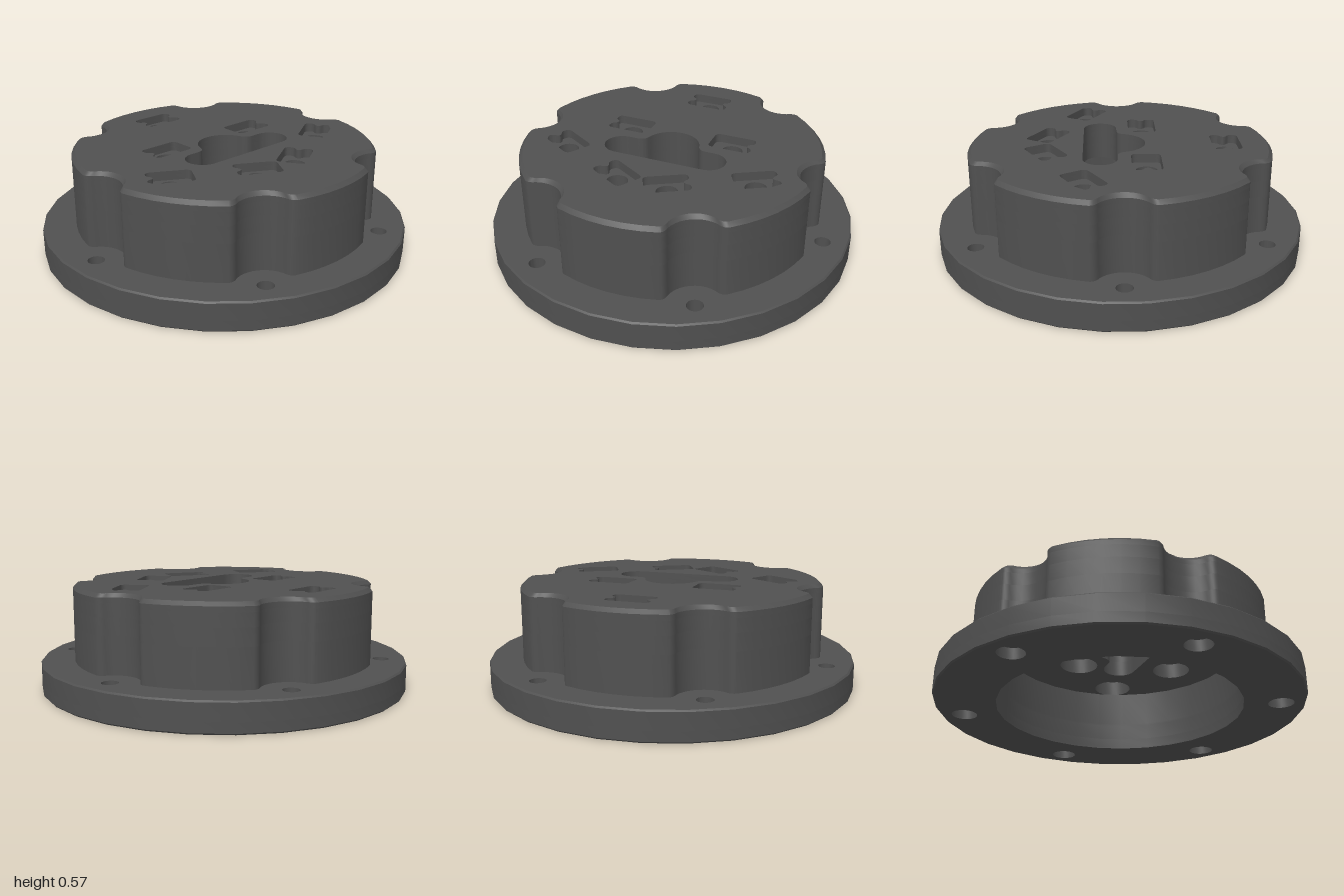
import * as THREE from 'three';
import { toCreasedNormals } from 'three/addons/utils/BufferGeometryUtils.js';

const darkGrey = new THREE.MeshStandardMaterial({ color: 0x505050 });
darkGrey.name = 'darkGrey';

const polar = (r, a) => new THREE.Vector2(r * Math.cos(a), r * Math.sin(a));

// 30-sided rim of the flange
function flangeOutline() {
  return Array.from({ length: 30 }, (_, i) => polar(1, (i / 30) * Math.PI * 2));
}

// Round body with a rounded scallop around each of the six screw holes
function bodyOutline() {
  const pts = [];
  for (let k = 0; k < 6; k++) {
    const c = Math.PI / 6 + (k * Math.PI) / 3;
    const centre = polar(0.865, c);
    const onScallop = (deg) => polar(0.15, c + Math.PI + (deg * Math.PI) / 180).add(centre);
    const lip = (from, ctrl, to) =>
      new THREE.QuadraticBezierCurve(from, ctrl, to).getPoints(5);
    pts.push(...lip(polar(0.82, c - 0.2), polar(0.815, c - 0.165), onScallop(50)));
    for (let d = 40; d >= -40; d -= 10) pts.push(onScallop(d));
    pts.push(...lip(onScallop(-50), polar(0.815, c + 0.165), polar(0.82, c + 0.2)));
    const span = Math.PI / 3 - 0.4;
    for (let i = 1; i < 6; i++) pts.push(polar(0.82, c + 0.2 + (span * i) / 6));
  }
  return pts;
}

const circle = (x, y, r) => new THREE.Path().absarc(x, y, r, 0, Math.PI * 2, true);

// Slot with a round bulge on one side
function keyhole() {
  const p = new THREE.Path();
  p.moveTo(0.2, -0.25);
  p.lineTo(0.2, 0.25);
  p.absarc(0.108, 0.25, 0.092, 0, Math.PI, false);
  p.lineTo(0.016, 0.2);
  p.quadraticCurveTo(0.016, 0.16, -0.02, 0.148);
  p.absarc(0.015, 0, 0.152, 1.803, Math.PI * 2 - 1.803, false);
  p.quadraticCurveTo(0.016, -0.16, 0.016, -0.2);
  p.lineTo(0.016, -0.25);
  p.absarc(0.108, -0.25, 0.092, Math.PI, Math.PI * 2, false);
  return p;
}

// Rounded pocket with a notch in one end, or in both
function pocket({ x, y, turn, both }) {
  const p = new THREE.Path();
  p.moveTo(0.078, -0.085);
  for (const s of [1, -1]) {
    p.lineTo(s * 0.078, s * 0.085);
    p.quadraticCurveTo(s * 0.078, s * 0.117, s * 0.048, s * 0.117);
    if (s > 0 || both) {
      p.quadraticCurveTo(s * 0.028, s * 0.117, s * 0.02, s * 0.1);
      p.quadraticCurveTo(0, s * 0.07, s * -0.02, s * 0.1);
      p.quadraticCurveTo(s * -0.028, s * 0.117, s * -0.048, s * 0.117);
    } else {
      p.lineTo(0.048, -0.117);
    }
    p.quadraticCurveTo(s * -0.078, s * 0.117, s * -0.078, s * 0.085);
  }
  const o = new THREE.Vector2();
  const a = (turn * Math.PI) / 180;
  const pts = p.getPoints(6).map((v) => v.rotateAround(o, a).add(new THREE.Vector2(x, y)));
  return new THREE.Path(pts);
}

// One horizontal slice from y0 to y1; the rim can be drawn in at top or bottom as a chamfer
function layer(name, outline, holes, y0, y1, chamfer) {
  const shape = new THREE.Shape(outline);
  shape.holes = holes;
  const geo = new THREE.ExtrudeGeometry(shape, {
    depth: y1 - y0, bevelEnabled: false, curveSegments: 14,
  });
  geo.rotateX(-Math.PI / 2).translate(0, y0, 0);
  if (chamfer) {
    const pos = geo.attributes.position;
    const level = chamfer.top ? y1 : y0;
    for (let i = 0; i < pos.count; i++) {
      const x = pos.getX(i), z = pos.getZ(i), r = Math.hypot(x, z);
      if (r > chamfer.beyond && Math.abs(pos.getY(i) - level) < 1e-4) {
        const k = 1 - chamfer.size / r;
        pos.setX(i, x * k);
        pos.setZ(i, z * k);
      }
    }
  }
  const mesh = new THREE.Mesh(toCreasedNormals(geo, 0.45), darkGrey);
  mesh.name = name;
  return mesh;
}

export function createModel() {
  const model = new THREE.Group();
  model.name = 'flangedHousing';

  const sockets = [{ x: -0.577, y: 0, turn: 0, both: true }];
  for (const s of [1, -1]) {
    const turn = s > 0 ? 30 : 150;
    sockets.push(
      { x: -0.13, y: s * 0.298, turn: s > 0 ? 0 : 180 },
      { x: 0.19, y: s * 0.535, turn },
      { x: 0.396, y: s * 0.138, turn },
    );
  }

  const screwHoles = (r) => Array.from({ length: 6 }, (_, k) => {
    const c = polar(0.865, Math.PI / 6 + (k * Math.PI) / 3);
    return circle(c.x, c.y, r);
  });
  const socketHoles = (r) => sockets.map((s) => circle(s.x, s.y, r));
  const cavity = () => circle(0, 0, 0.67);

  // Flange, with wider screw recesses underneath
  const rim = flangeOutline();
  const flange = new THREE.Group();
  flange.name = 'flange';
  flange.add(
    layer('flangeLowerEdge', rim, [cavity(), ...screwHoles(0.07)], 0, 0.008,
      { beyond: 0.97, size: 0.008, top: false }),
    layer('flangeScrewRecesses', rim, [cavity(), ...screwHoles(0.07)], 0.008, 0.06),
    layer('flangeDisc', rim, [cavity(), ...screwHoles(0.043)], 0.06, 0.15),
    layer('flangeUpperEdge', rim, [cavity(), ...screwHoles(0.043)], 0.15, 0.158,
      { beyond: 0.97, size: 0.008, top: true }),
  );

  // Scalloped body, hollow from below and closed by a pierced plate
  const scalloped = bodyOutline();
  const pockets = () => sockets.map(pocket);
  const body = new THREE.Group();
  body.name = 'body';
  body.add(
    layer('bodyWall', scalloped, [cavity()], 0.158, 0.36),
    layer('plateBores', scalloped, [keyhole(), ...socketHoles(0.108)], 0.36, 0.45),
    layer('plateHoles', scalloped, [keyhole(), ...socketHoles(0.057)], 0.45, 0.52),
    layer('platePockets', scalloped, [keyhole(), ...pockets()], 0.52, 0.548),
    layer('plateChamferedTop', scalloped, [keyhole(), ...pockets()], 0.548, 0.568,
      { beyond: 0.709, size: 0.02, top: true }),
  );

  model.add(flange, body);
  return model;
}
